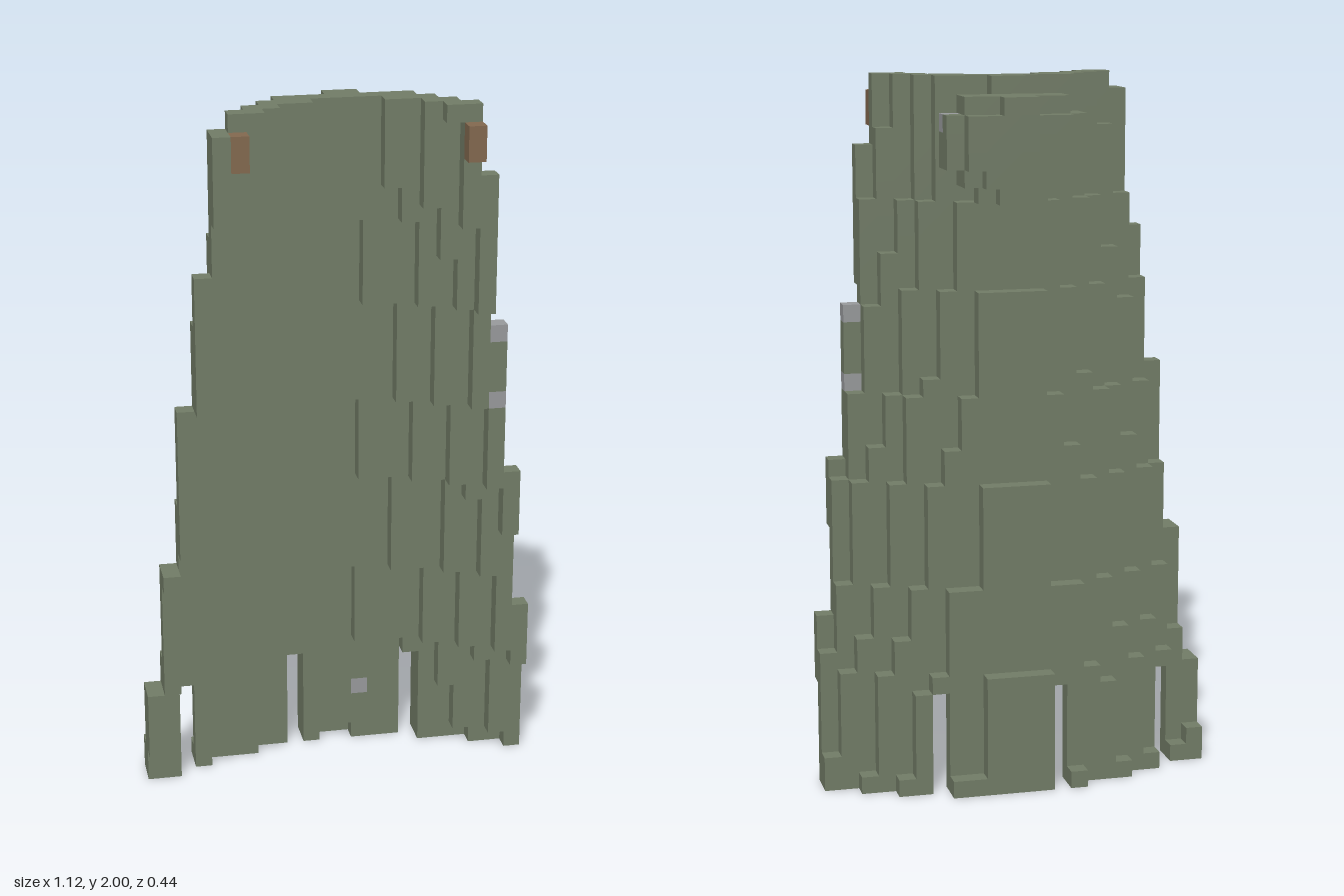
import * as THREE from 'three';

const V = 2 / 41;          // edge of one block
const ROWS = 41;

// Farthest-forward layer allowed near the side edges, by |column|
const FRONT_CAP = { 7: 4, 8: 3, 9: 2, 10: 2, 11: 1 };
// Height (in rows) of the outermost columns; inner ones reach the top
const COLUMN_TOP = { '-11': 6, '-10': 14, '-9': 24, '-8': 32, '-7': 40, 8: 37, 9: 28, 10: 19, 11: 10 };
const TEARS = [-9, -2, 5]; // columns cut away at the hem
const TEAR_HEIGHT = 6;

const key = (x, y, z) => `${x},${y},${z}`;

function fillBlocks() {
  const blocks = new Map();
  const put = (x, y, z, part) => blocks.set(key(x, y, z), { x, y, z, part });

  // Curved cloth: bowed forward at the sides, leaning back in half-block steps and widening downward
  for (let x = -11; x <= 11; x++) {
    const top = COLUMN_TOP[x] ?? ROWS;
    const side = Math.abs(x);
    for (let y = 0; y < top; y++) {
      if (TEARS.includes(x) && y < TEAR_HEIGHT) continue;
      const width = 7 + (40 - y) / 9;
      const lean = Math.max(0, Math.ceil((34 - y) / 5.5)) / 2;
      const bow = 6.26 * Math.sin(0.88 * (x - 0.5) / width) ** 2 - lean;
      const rowCap = Math.floor((y - 2) / 11) + 1;
      const front = Math.min(Math.floor(bow + 0.472), FRONT_CAP[side] ?? 4, rowCap);
      const back = Math.min(Math.ceil(bow - 1.17), side === 11 && y < 2 ? front - 1 : front);
      for (let z = back; z <= front; z++) put(x, y, z, 'cape');
    }
  }

  // Rounded hood lying against the upper back
  for (let x = -3; x <= 4; x++)
    for (let y = 34; y <= 39; y++)
      for (let z = -4; z <= -2; z++) {
        const r = (x - 0.5) ** 2 / 14 + ((y - 36.9) / 3.1) ** 2 + ((z + 1.5) / 3) ** 2;
        if (r < 1.27) put(x, y, z, 'hood');
      }

  // Collar clasps
  for (const x of [-6, 7]) for (const y of [38, 39]) put(x, y, 4, 'clasps');

  // Grey studs
  for (const [x, y, z] of [[9, 27, 2], [9, 23, 2], [2, 3, -3], [4, 38, -2]]) put(x, y, z, 'studs');
  return blocks;
}

// Outer faces only, for all blocks of one part
function partGeometry(blocks, part) {
  const position = [], normal = [], index = [];
  for (const b of blocks.values()) {
    if (b.part !== part) continue;
    const c = [b.x * V, (b.y + 0.5) * V, b.z * V];
    for (let axis = 0; axis < 3; axis++)
      for (const s of [-1, 1]) {
        const n = [0, 0, 0];
        n[axis] = s;
        if (blocks.has(key(b.x + n[0], b.y + n[1], b.z + n[2]))) continue;
        const u = (axis + 1) % 3, w = (axis + 2) % 3;
        const start = position.length / 3;
        for (const [i, j] of [[-1, -1], [1, -1], [1, 1], [-1, 1]]) {
          const p = [...c];
          p[axis] += s * V / 2;
          p[u] += s * i * V / 2;
          p[w] += j * V / 2;
          position.push(...p);
          normal.push(...n);
        }
        index.push(start, start + 1, start + 2, start, start + 2, start + 3);
      }
  }
  const g = new THREE.BufferGeometry();
  g.setAttribute('position', new THREE.Float32BufferAttribute(position, 3));
  g.setAttribute('normal', new THREE.Float32BufferAttribute(normal, 3));
  g.setIndex(index);
  return g;
}

export function createModel() {
  const material = (name, color) => {
    const m = new THREE.MeshStandardMaterial({ color });
    m.name = name;
    return m;
  };
  const green = material('mossGreen', 0x737e68);
  const brown = material('leatherBrown', 0x846a50);
  const grey = material('steelGrey', 0x9a9c9e);

  const group = new THREE.Group();
  group.name = 'hoodedCape';
  const blocks = fillBlocks();
  for (const [part, mat] of [['cape', green], ['hood', green], ['clasps', brown], ['studs', grey]]) {
    const mesh = new THREE.Mesh(partGeometry(blocks, part), mat);
    mesh.name = part;
    group.add(mesh);
  }
  return group;
}
